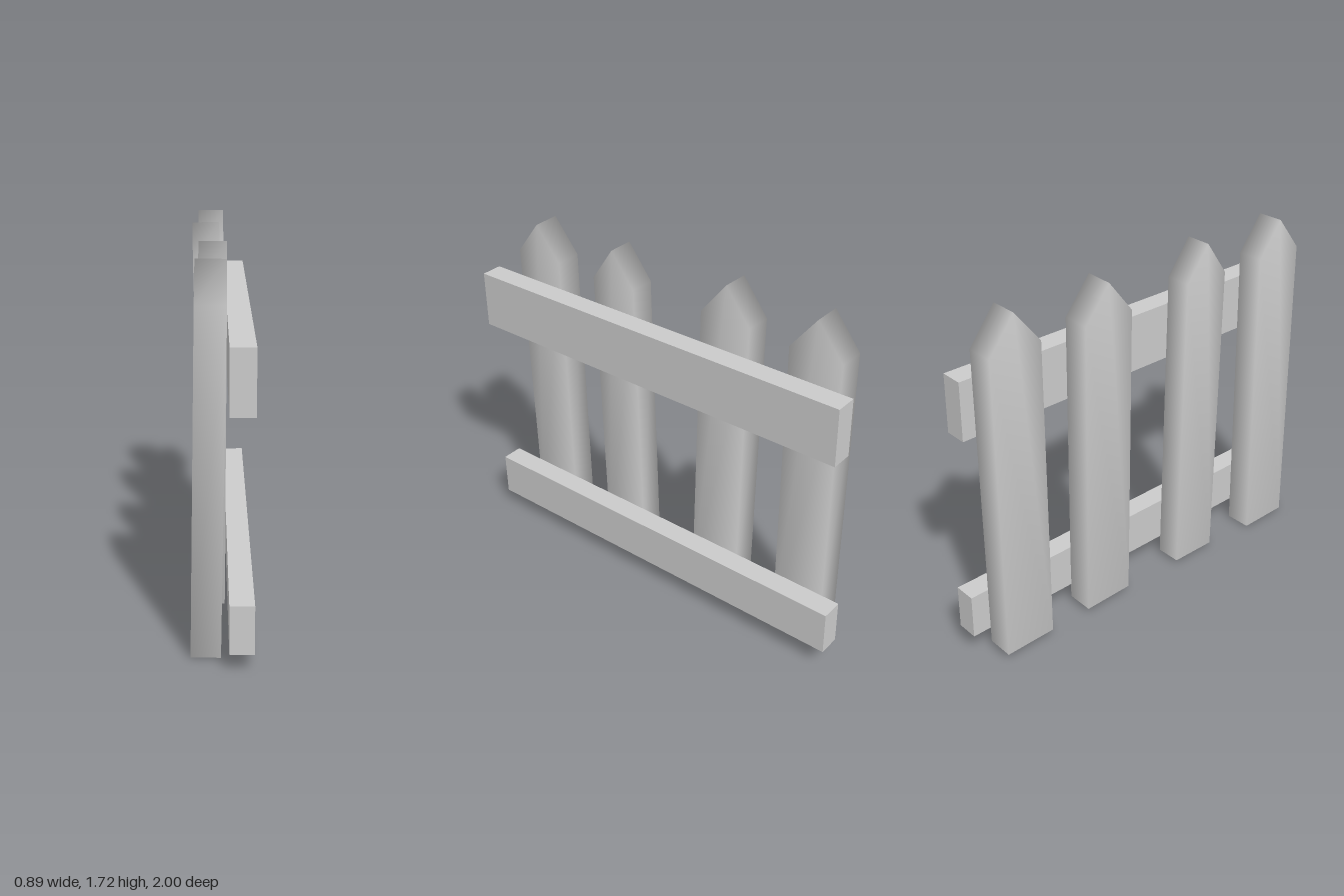
import * as THREE from 'three';
import { mergeVertices } from 'three/addons/utils/BufferGeometryUtils.js';

const material = new THREE.MeshStandardMaterial({ color: 0xcccccc });

// Pointed board standing on its origin, with normals smoothed across its edges
function picketGeometry(width, height, depth, tip) {
  const w = width / 2;
  const shape = new THREE.Shape();
  shape.moveTo(-w, 0);
  shape.lineTo(w, 0);
  shape.lineTo(w, height - tip);
  shape.lineTo(0, height);
  shape.lineTo(-w, height - tip);
  shape.closePath();
  const extruded = new THREE.ExtrudeGeometry(shape, { depth, bevelEnabled: false });
  extruded.translate(0, 0, -depth / 2);
  extruded.deleteAttribute('normal');
  extruded.deleteAttribute('uv');
  const geometry = mergeVertices(extruded, 1e-4);
  geometry.computeVertexNormals();
  return geometry;
}

export function createModel() {
  const fence = new THREE.Group();
  fence.name = 'fence';

  // Pickets: foot and peak of each centre line, so every board leans its own way
  const pickets = [
    { foot: [-0.727, 0.004, -0.11], peak: [-0.752, 1.69, -0.082], width: 0.26, depth: 0.13 },
    { foot: [-0.221, 0.017, -0.085], peak: [-0.277, 1.70, -0.073], width: 0.24, depth: 0.125 },
    { foot: [0.352, 0.03, -0.073], peak: [0.344, 1.713, -0.105], width: 0.26, depth: 0.13 },
    { foot: [0.837, 0.04, -0.08], peak: [0.82, 1.723, -0.08], width: 0.26, depth: 0.13 },
  ];
  const up = new THREE.Vector3(0, 1, 0);
  pickets.forEach(({ foot, peak, width, depth }, i) => {
    const base = new THREE.Vector3(...foot);
    const axis = new THREE.Vector3(...peak).sub(base);
    const mesh = new THREE.Mesh(picketGeometry(width, axis.length(), depth, 0.165), material);
    mesh.name = `picket${i + 1}`;
    mesh.position.copy(base);
    mesh.quaternion.setFromUnitVectors(up, axis.normalize());
    fence.add(mesh);
  });

  // Rails: two slightly tilted planks across the front of the pickets
  const rails = [
    { name: 'upperRail', u: -0.004, y: 1.27, height: 0.28 },
    { name: 'lowerRail', u: 0.033, y: 0.21, height: 0.22 },
  ];
  for (const { name, u, y, height } of rails) {
    const rail = new THREE.Mesh(new THREE.BoxGeometry(2.045, height, 0.106), material);
    rail.name = name;
    rail.position.set(u, y, 0.041);
    rail.rotation.z = 0.019;
    fence.add(rail);
  }

  // The whole fence runs diagonally from front right to back left
  fence.rotation.y = THREE.MathUtils.degToRad(70.5);
  const model = new THREE.Group();
  model.name = 'picketFence';
  model.add(fence);
  return model;
}
